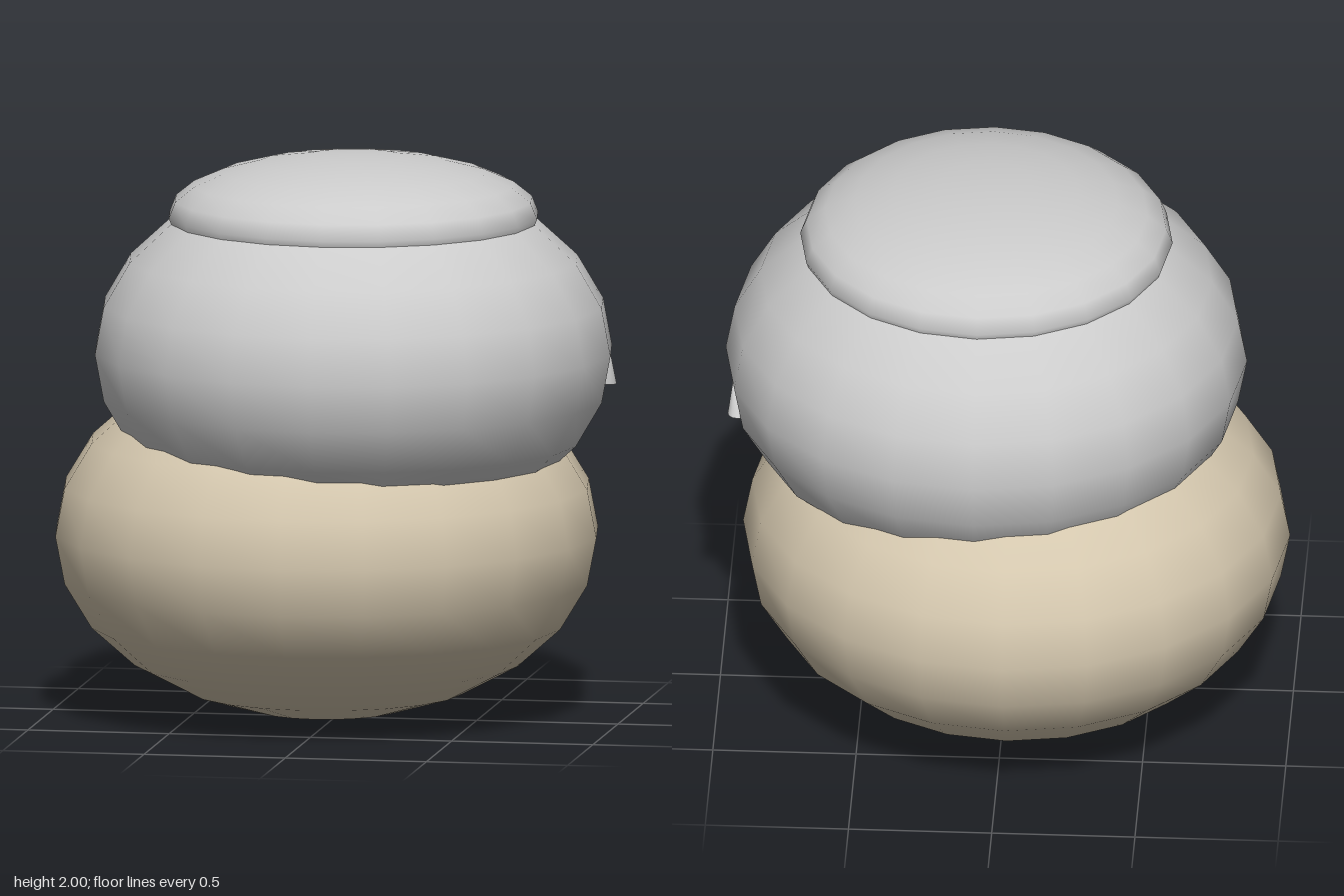
import * as THREE from 'three';

const grey = new THREE.MeshStandardMaterial({ color: 0xcccccc });
const tan = new THREE.MeshStandardMaterial({ color: 0xd4c7ae });

// Flattened 20-sided ball with radius r and half-height h
function flatBall(name, material, r, h, x, y, z) {
  const mesh = new THREE.Mesh(new THREE.SphereGeometry(1, 20, 12), material);
  mesh.name = name;
  mesh.scale.set(r, h, r);
  mesh.position.set(x, y, z);
  return mesh;
}

export function createModel() {
  const group = new THREE.Group();
  group.name = 'stackedBalls';

  // Large base, offset body on top of it, and a shallow cap
  group.add(
    flatBall('base', tan, 0.955, 0.65, -0.035, 0.655, -0.02),
    flatBall('body', grey, 0.91, 0.64, 0.075, 1.31, 0.065),
    flatBall('cap', grey, 0.65, 0.215, 0.075, 1.785, 0.065)
  );

  // Small spike on the left flank, its tip leaning toward the front
  const geometry = new THREE.ConeGeometry(0.036, 0.11, 12, 4);
  const p = geometry.attributes.position;
  for (let i = 0; i < p.count; i++) {
    const t = (p.getY(i) + 0.055) / 0.11;
    p.setX(i, p.getX(i) + 0.02 * t);
    p.setZ(i, p.getZ(i) + 0.03 * t);
  }
  geometry.computeVertexNormals();
  const spike = new THREE.Mesh(geometry, grey);
  spike.name = 'spike';
  spike.position.set(0.93, 1.235, -0.165);
  group.add(spike);

  return group;
}
